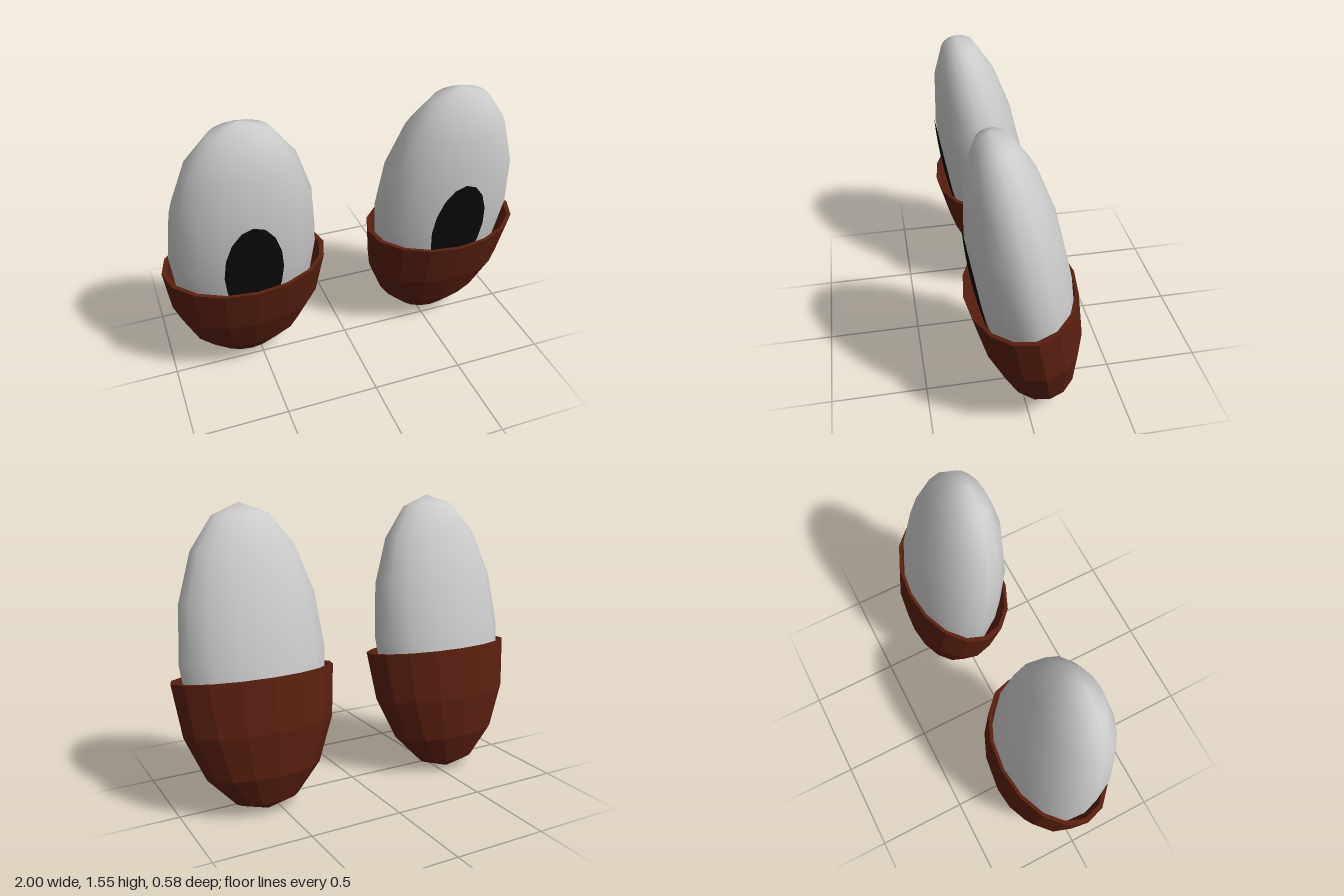
import * as THREE from 'three';

// Affine frame in the YZ plane: leaning axis, squashed depth and origin
function leanFrame(width, axis, depth, origin) {
  return new THREE.Matrix4().makeBasis(
    new THREE.Vector3(width, 0, 0),
    new THREE.Vector3(0, ...axis),
    new THREE.Vector3(0, ...depth)
  ).setPosition(0, ...origin);
}

const eyeFrame = leanFrame(0.39, [0.76, 0.137], [-0.04, 0.233], [0.79, 0.015]);
const cupFrame = leanFrame(0.435, [0.7, 0.14], [-0.0425, 0.275], [0.7, 0.02]);

// Half-sphere profile from the bottom up to the rim
function bowlProfile(radius) {
  const points = [];
  for (let i = 0; i <= 4; i++) {
    const a = (i * Math.PI) / 8;
    points.push(new THREE.Vector2(radius * Math.sin(a), -radius * Math.cos(a)));
  }
  points[0].x = 0;
  return points;
}

function addPart(parent, name, geometry, frame, material) {
  const mesh = new THREE.Mesh(geometry.applyMatrix4(frame), material);
  mesh.name = name;
  parent.add(mesh);
}

export function createModel() {
  const model = new THREE.Group();
  model.name = 'eyePair';

  const white = new THREE.MeshStandardMaterial({ color: 0xcccccc });
  const black = new THREE.MeshStandardMaterial({ color: 0x0a0a0a, side: THREE.DoubleSide });
  const brown = new THREE.MeshStandardMaterial({ color: 0x5a1f0f, flatShading: true });

  for (const side of [1, -1]) {
    const eye = new THREE.Group();
    eye.name = side > 0 ? 'leftEye' : 'rightEye';
    eye.position.x = side * 0.565;

    // Tall leaning eyeball
    addPart(eye, 'eyeball', new THREE.SphereGeometry(1, 16, 8), eyeFrame, white);

    // Pupil: thin cap lying just over the front of the eyeball
    const pupil = new THREE.SphereGeometry(1.025, 16, 4, 0, Math.PI * 2, 0, Math.PI / 8);
    pupil.rotateX(Math.PI / 2);
    addPart(eye, 'pupil', pupil, eyeFrame, black);

    // Faceted cup with a thin rim and an inner wall
    const profile = [...bowlProfile(1), ...bowlProfile(0.94).reverse()];
    addPart(eye, 'lowerLid', new THREE.LatheGeometry(profile, 16), cupFrame, brown);

    model.add(eye);
  }
  return model;
}
